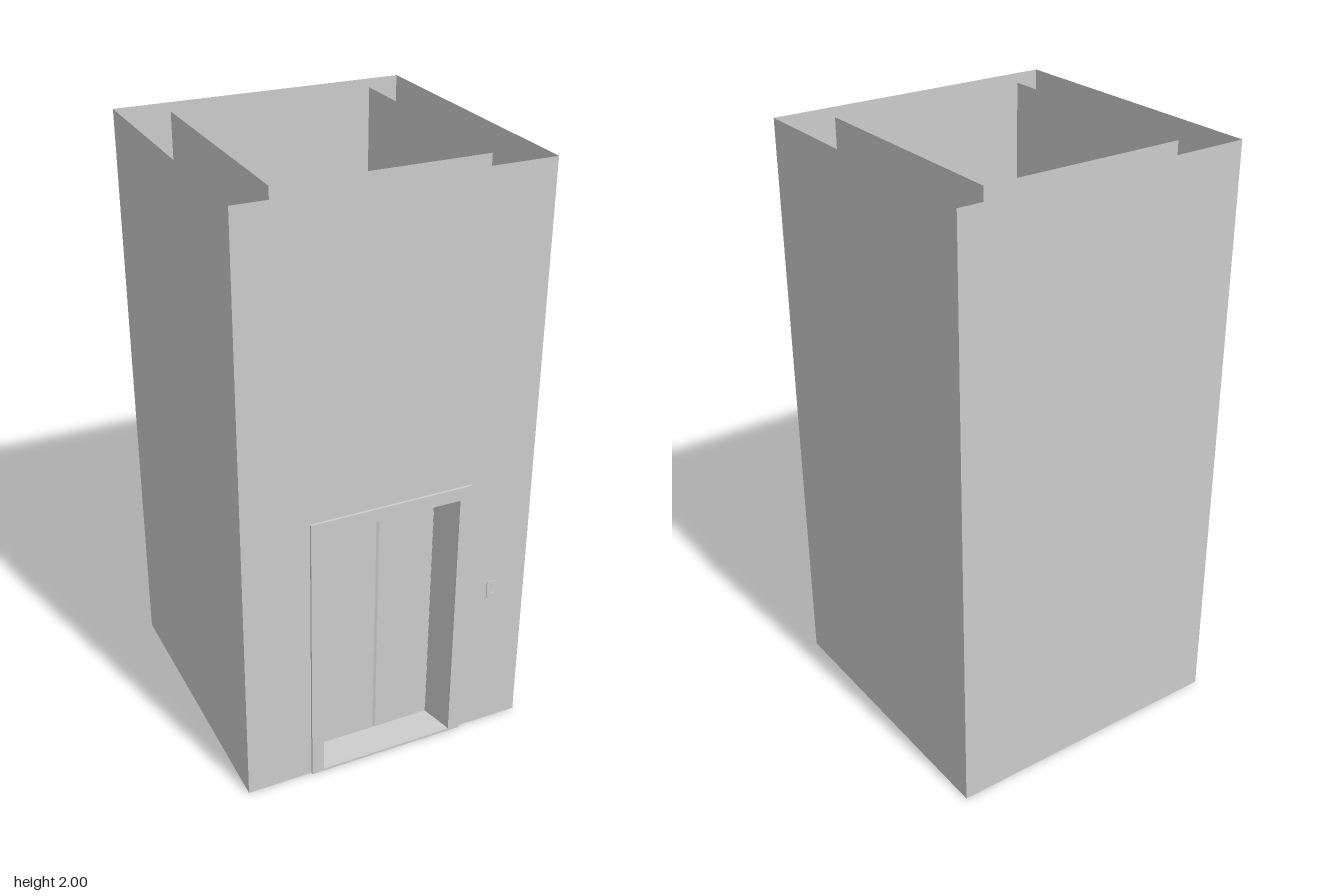
import * as THREE from 'three';

const material = new THREE.MeshStandardMaterial({ color: 0xcccccc, side: THREE.DoubleSide, flatShading: true });

function add(parent, name, geometry, x = 0, y = 0, z = 0) {
  const mesh = new THREE.Mesh(geometry, material);
  mesh.name = name;
  mesh.position.set(x, y, z);
  parent.add(mesh);
  return mesh;
}

// Rectangle given by half width, bottom and top
function rect(Type, half, bottom, top) {
  return new Type([[-half, bottom], [half, bottom], [half, top], [-half, top]].map(p => new THREE.Vector2(...p)));
}

// Thin four-walled tube, open at top and bottom, with a doorway in the front wall
function walls(name, half, back, front, height, door) {
  const group = new THREE.Group();
  group.name = name;
  const depth = front - back;
  const face = rect(THREE.Shape, half, 0, height);
  face.holes.push(rect(THREE.Path, ...door));
  add(group, 'frontWall', new THREE.ShapeGeometry(face), 0, 0, front);
  add(group, 'backWall', new THREE.PlaneGeometry(half * 2, height), 0, height / 2, back).rotation.y = Math.PI;
  for (const side of [-1, 1]) {
    add(group, side > 0 ? 'leftWall' : 'rightWall', new THREE.PlaneGeometry(depth, height),
      side * half, height / 2, (front + back) / 2).rotation.y = side * Math.PI / 2;
  }
  return group;
}

// Four faces joining the wide outer doorway to the narrower inner one
function reveal(outer, zOuter, inner, zInner) {
  const ring = ([half, bottom, top], z) => [[-half, bottom, z], [half, bottom, z], [half, top, z], [-half, top, z]];
  const a = ring(outer, zOuter), b = ring(inner, zInner);
  const points = [];
  for (let i = 0; i < 4; i++) {
    const j = (i + 1) % 4;
    points.push(...a[i], ...a[j], ...b[j], ...a[i], ...b[j], ...b[i]);
  }
  const geometry = new THREE.BufferGeometry();
  geometry.setAttribute('position', new THREE.Float32BufferAttribute(points, 3));
  geometry.computeVertexNormals();
  return geometry;
}

export function createModel() {
  const model = new THREE.Group();
  const outerDoor = [0.235, 0.008, 0.93];
  const innerDoor = [0.205, 0.013, 0.895];
  const zWall = 0.493, zShaft = 0.39;

  // Building shell and inner shaft
  model.add(walls('outerShell', 0.5, -0.5, zWall, 2, outerDoor));
  model.add(walls('innerShaft', 0.345, -0.397, zShaft, 2, innerDoor));

  // Tapered doorway
  add(model, 'doorReveal', reveal(outerDoor, zWall, innerDoor, zShaft - 0.002));

  // Raised surround on the front wall
  const surround = rect(THREE.Shape, 0.277, 0, 0.975);
  surround.holes.push(rect(THREE.Path, ...outerDoor));
  add(model, 'doorSurround', new THREE.ExtrudeGeometry(surround, { depth: 0.008, bevelEnabled: false }), 0, 0, zWall);

  // Lift car standing at the bottom of the shaft
  add(model, 'liftCar', new THREE.BoxGeometry(0.606, 1, 0.739), 0, 0.5, 0.0145);

  // Sliding doors with bevelled meeting edges
  for (const side of [-1, 1]) {
    const section = new THREE.Shape([[0.002, -0.3845], [0.205, -0.3845], [0.205, -0.389], [0.01, -0.389]]
      .map(([x, y]) => new THREE.Vector2(side * x, y)));
    const door = new THREE.ExtrudeGeometry(section, { depth: innerDoor[2] - innerDoor[1], bevelEnabled: false });
    door.rotateX(-Math.PI / 2);
    add(model, side > 0 ? 'leftDoor' : 'rightDoor', door, 0, innerDoor[1], 0);
  }

  // Call panel with up and down buttons
  const panel = new THREE.Group();
  panel.name = 'callPanel';
  panel.position.set(0.377, 0.547, zWall);
  add(panel, 'callPlate', new THREE.BoxGeometry(0.038, 0.066, 0.004), 0, 0, 0.001);
  for (const side of [-1, 1]) {
    const button = new THREE.CylinderGeometry(0.007, 0.007, 0.003, 3).rotateX(Math.PI / 2);
    add(panel, side > 0 ? 'upButton' : 'downButton', button, 0, side * 0.016, 0.004)
      .rotation.z = side > 0 ? Math.PI : 0;
  }
  model.add(panel);

  return model;
}
